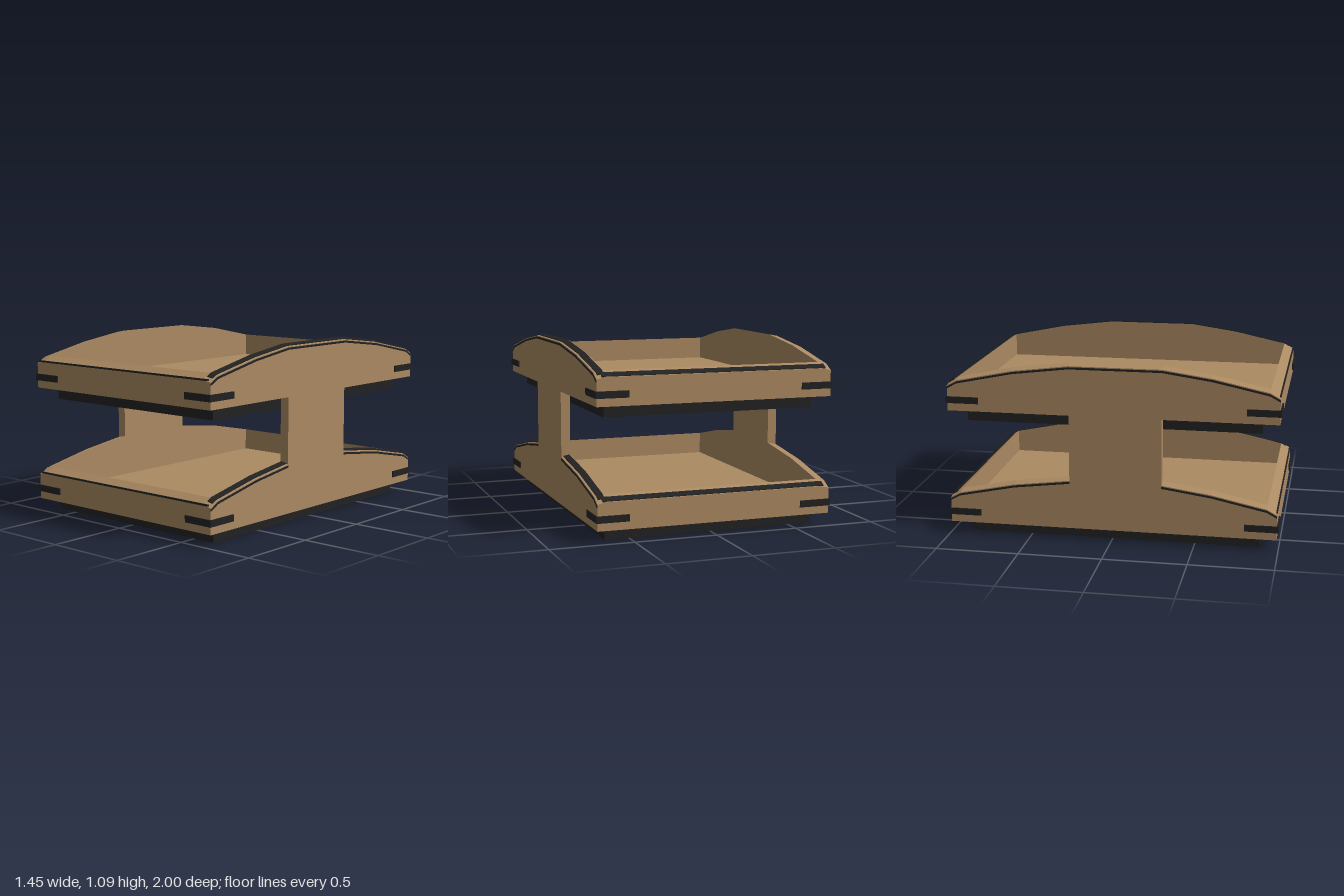
import * as THREE from 'three';

const wood = new THREE.MeshStandardMaterial({ color: 0xab8a62 });
wood.name = 'wood';
const black = new THREE.MeshStandardMaterial({ color: 0x222222 });
black.name = 'black';

const TIER = 0.7; // height between the two trays
const X_IN = 0.66, X_OUT = 0.717;

// Lower tray's arched edge as [z, y], split where the neck interrupts it
const frontArc = [[0.99, 0.24], [0.93, 0.273], [0.6, 0.343], [0.305, 0.385]];
const backArc = [[-0.25, 0.385], [-0.59, 0.343], [-0.93, 0.273], [-0.99, 0.24]];
const raise = (pts, dy) => pts.map(([z, y]) => [z, y + dy]);

function add(group, geometry, material, name) {
  const mesh = new THREE.Mesh(geometry, material);
  mesh.name = name;
  group.add(mesh);
  return mesh;
}

function box(group, material, name, x0, x1, y0, y1, z0, z1) {
  const mesh = add(group, new THREE.BoxGeometry(x1 - x0, y1 - y0, z1 - z0), material, name);
  mesh.position.set((x0 + x1) / 2, (y0 + y1) / 2, (z0 + z1) / 2);
}

// Extrude a [z, y] outline across x0..x1
function extrudeX(points, x0, x1) {
  const shape = new THREE.Shape(points.map(([z, y]) => new THREE.Vector2(z, y)));
  const g = new THREE.ExtrudeGeometry(shape, { depth: x1 - x0, bevelEnabled: false });
  g.rotateY(-Math.PI / 2);
  g.translate(x1, 0, 0);
  return g;
}

// Let arched edges fall slightly towards the outside of the panel
function slopeOutward(g) {
  const p = g.attributes.position;
  for (let i = 0; i < p.count; i++) {
    const y = p.getY(i);
    if ((y > 0.2 && y < 0.45) || y > 0.9) {
      p.setY(i, y - 0.2 * (Math.abs(p.getX(i)) - X_IN));
    }
  }
  g.computeVertexNormals();
  return g;
}

// Band following an arc between two vertical offsets
function band(arc, lo, hi, x0, x1) {
  return slopeOutward(extrudeX([...raise(arc, hi), ...raise(arc, lo).reverse()], x0, x1));
}

function createSide(s) {
  const side = new THREE.Group();
  side.name = s > 0 ? 'leftSide' : 'rightSide';
  // One panel carries both trays, joined by the neck
  const outline = [
    [-0.99, 0.075], [0.99, 0.075], ...frontArc,
    [0.305, 0.775], [0.99, 0.775], ...raise([...frontArc, ...backArc], TIER),
    [-0.99, 0.775], [-0.25, 0.775], ...backArc,
  ];
  const x0 = s > 0 ? X_IN : -X_OUT, x1 = s > 0 ? X_OUT : -X_IN;
  add(side, slopeOutward(extrudeX(outline, x0, x1)), wood, 'sidePanel');

  const arcs = [frontArc, backArc, raise([...frontArc, ...backArc], TIER)];
  for (const arc of arcs) {
    // Narrow line just below the outer edge
    const edge = s * (X_OUT + 0.001);
    add(side, band(arc, -0.018, -0.006, edge - 0.002, edge + 0.002), black, 'edgeLine');
    // Inlay along the top of the left panel, stopping short of the lips
    if (s > 0) {
      const inlay = arc.map(([z, y]) => (Math.abs(z) > 0.98 ? [Math.sign(z) * 0.96, y + 0.017] : [z, y]));
      add(side, band(inlay, -0.004, 0.004, 0.667, 0.705), black, 'topInlay');
    }
  }
  return side;
}

function createTray() {
  const tray = new THREE.Group();
  tray.name = 'tray';
  box(tray, wood, 'floor', -X_IN, X_IN, 0.075, 0.13, -0.935, 0.935);
  box(tray, black, 'basePad', -0.645, 0.645, 0, 0.0745, -0.888, 0.888);

  // End walls with sloping lips
  const wall = [[0.93, 0.075], [0.99, 0.075], [0.99, 0.24], [0.93, 0.273]];
  add(tray, extrudeX(wall, -X_IN, X_IN), wood, 'frontWall');
  add(tray, extrudeX(wall.map(([z, y]) => [-z, y]).reverse(), -X_IN, X_IN), wood, 'backWall');

  // Dark trim on the lips
  add(tray, extrudeX([[-0.955, 0.256], [-0.955, 0.264], [-0.987, 0.246], [-0.987, 0.238]].reverse(),
    -0.685, 0.685), black, 'backInlay');
  box(tray, black, 'frontLine', -0.7, 0.7, 0.236, 0.246, 0.983, 0.992);

  // L-shaped corner straps
  for (const sx of [-1, 1]) {
    for (const sz of [-1, 1]) {
      const shape = new THREE.Shape([
        [0.53, 0.985], [0.712, 0.985], [0.712, 0.8], [0.725, 0.8], [0.725, 1], [0.53, 1],
      ].map(([x, z]) => new THREE.Vector2(sx * x, -sz * z)));
      const g = new THREE.ExtrudeGeometry(shape, { depth: 0.04, bevelEnabled: false });
      g.rotateX(-Math.PI / 2);
      add(tray, g, black, 'cornerStrap').position.y = 0.122;
    }
  }
  return tray;
}

export function createModel() {
  const model = new THREE.Group();
  model.name = 'deskTray';
  for (const level of [0, 1]) {
    const tray = createTray();
    tray.name = level ? 'upperTray' : 'lowerTray';
    tray.position.y = level * TIER;
    model.add(tray);
  }
  model.add(createSide(1), createSide(-1));
  return model;
}
